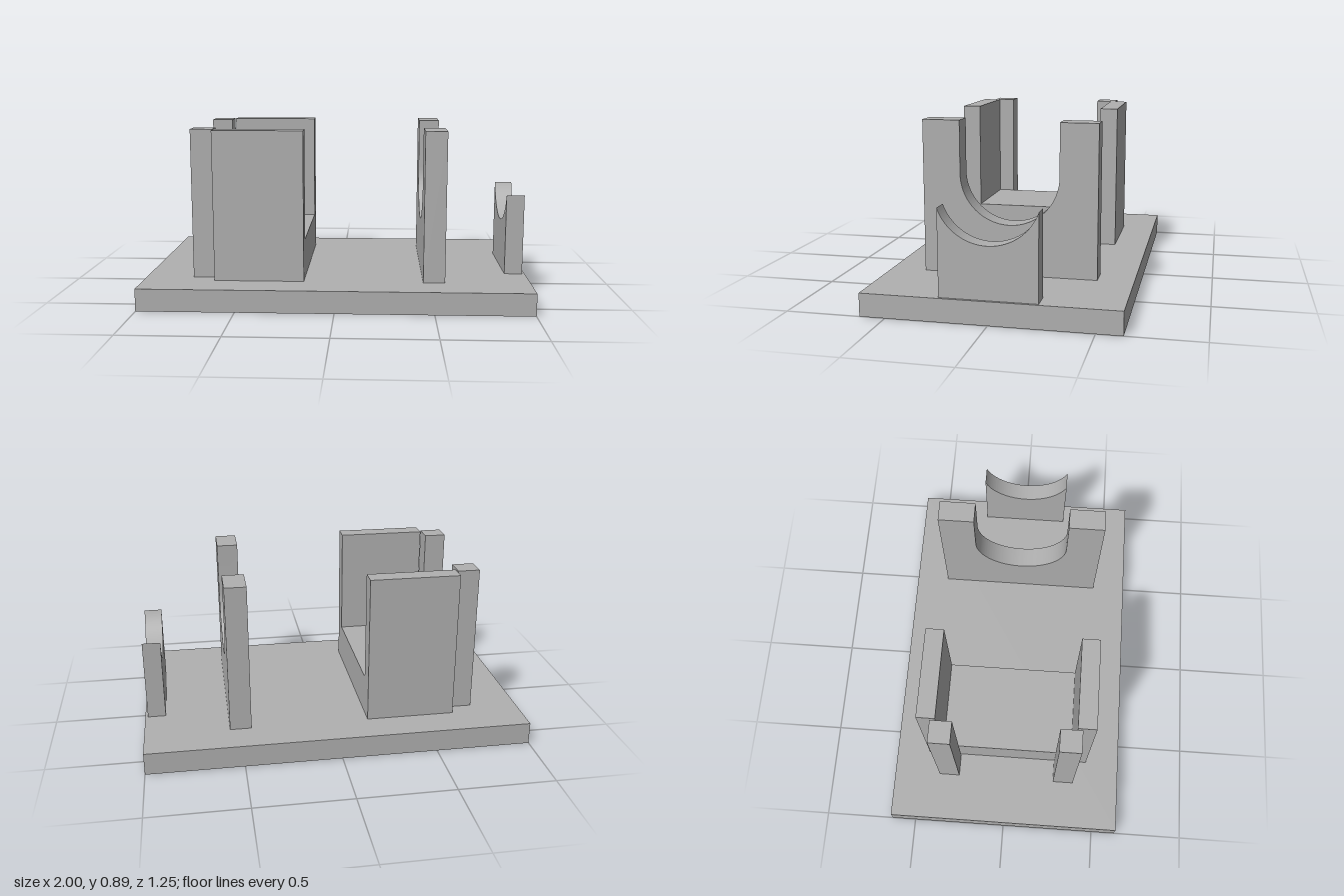
import * as THREE from 'three';
import { toCreasedNormals } from 'three/addons/utils/BufferGeometryUtils.js';

const BASE_TOP = 0.116, TOP = 0.895;
const ARC_R = 0.253, ARC_Y = 0.627;

export function createModel() {
  const group = new THREE.Group();
  const grey = new THREE.MeshStandardMaterial({ color: 0xb0b0b0 });
  grey.name = 'plain grey';

  const add = (name, geometry) => {
    const mesh = new THREE.Mesh(geometry, grey);
    mesh.name = name;
    group.add(mesh);
    return mesh;
  };

  // Box given by its limits on each axis
  const box = (name, x0, x1, y0, y1, z0, z1) =>
    add(name, new THREE.BoxGeometry(x1 - x0, y1 - y0, z1 - z0))
      .position.set((x0 + x1) / 2, (y0 + y1) / 2, (z0 + z1) / 2);

  // Symmetric outline in the z-y plane, extruded along x
  const slab = (name, shape, x0, x1) => {
    const g = new THREE.ExtrudeGeometry(shape, { depth: x1 - x0, bevelEnabled: false, curveSegments: 48 });
    g.rotateY(Math.PI / 2).translate(x0, 0, 0);
    add(name, toCreasedNormals(g, 0.4));
  };

  // Base plate
  box('basePlate', -1, 1, 0, BASE_TOP, -0.627, 0.627);

  // U-shaped cradle with a flat raised floor
  const floor = 0.32, outer = 0.445, inner = 0.35;
  const cradle = new THREE.Shape([
    [-outer, BASE_TOP], [outer, BASE_TOP], [outer, TOP], [inner, TOP],
    [inner, floor], [-inner, floor], [-inner, TOP], [-outer, TOP],
  ].map(([z, y]) => new THREE.Vector2(z, y)));
  slab('cradle', cradle, -0.63, -0.165);

  // Pair of square stop posts behind the cradle
  box('leftPost', -0.752, -0.638, BASE_TOP, TOP, 0.265, 0.376);
  box('rightPost', -0.752, -0.638, BASE_TOP, TOP, -0.376, -0.265);

  // Tall support with a round-bottomed notch
  const tall = new THREE.Shape();
  tall.moveTo(-outer, BASE_TOP);
  tall.lineTo(outer, BASE_TOP);
  tall.lineTo(outer, TOP);
  tall.lineTo(ARC_R, TOP);
  tall.lineTo(ARC_R, ARC_Y);
  tall.absarc(0, ARC_Y, ARC_R, 0, -Math.PI, true);
  tall.lineTo(-ARC_R, TOP);
  tall.lineTo(-outer, TOP);
  slab('tallSupport', tall, 0.45, 0.562);

  // Low saddle sharing the same arc, cut to a sharp edge at each end
  const half = 0.238, a = Math.acos(half / ARC_R);
  const low = new THREE.Shape();
  low.moveTo(-half, BASE_TOP);
  low.lineTo(half, BASE_TOP);
  low.absarc(0, ARC_Y, ARC_R, -a, a - Math.PI, true);
  slab('lowSaddle', low, 0.892, 0.986);

  return group;
}
